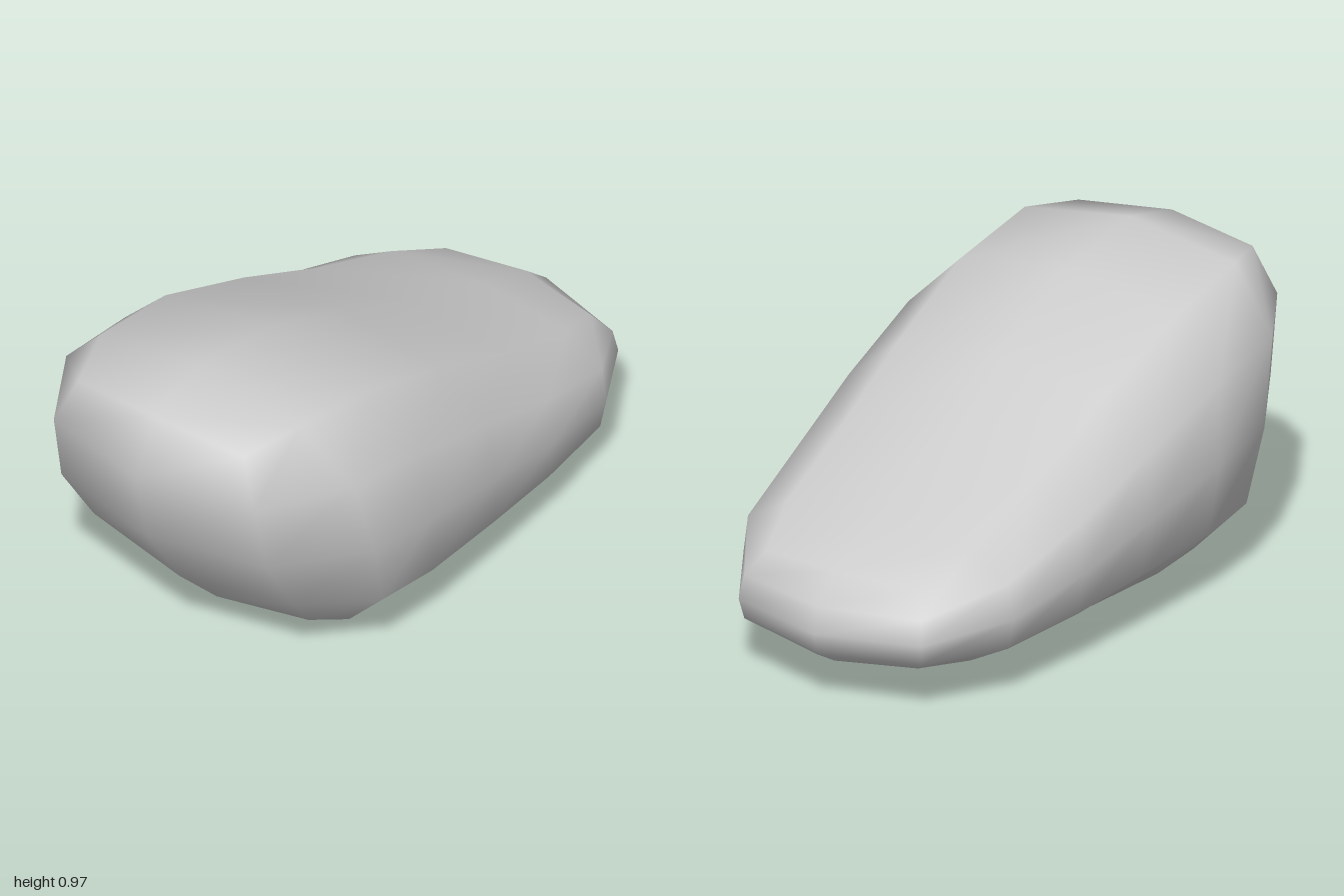
import * as THREE from 'three';
import { mergeVertices } from 'three/addons/utils/BufferGeometryUtils.js';

// Outlines as [z, y], front to back for top and bottom, top to bottom for the ends.
// "mid" runs along the centre plane, "rim" along the border of each flank.
const mid = {
  top: [[0.915, 0.91], [0.69, 0.97], [0.36, 0.92], [0, 0.77], [-0.34, 0.6], [-0.67, 0.478], [-0.89, 0.395]],
  bottom: [[0.61, 0.07], [0.47, 0.01], [0.26, 0.003], [-0.05, 0.023], [-0.35, 0.045], [-0.65, 0.065], [-0.89, 0.105]],
  front: [[0.915, 0.91], [1, 0.735], [0.95, 0.495], [0.79, 0.25], [0.61, 0.07]],
  back: [[-0.89, 0.395], [-0.985, 0.315], [-1, 0.23], [-0.985, 0.16], [-0.89, 0.105]],
};
// Rim points carry the half width as a third value.
const rim = {
  top: [[0.88, 0.88, 0.31], [0.69, 0.91, 0.375], [0.36, 0.86, 0.385], [0, 0.722, 0.37], [-0.34, 0.57, 0.35], [-0.66, 0.455, 0.325], [-0.85, 0.38, 0.27]],
  bottom: [[0.58, 0.11, 0.32], [0.46, 0.07, 0.38], [0.26, 0.063, 0.385], [-0.05, 0.073, 0.37], [-0.35, 0.083, 0.35], [-0.65, 0.097, 0.325], [-0.85, 0.13, 0.27]],
  front: [[0.88, 0.88, 0.31], [0.915, 0.73, 0.375], [0.865, 0.495, 0.385], [0.72, 0.27, 0.375], [0.58, 0.11, 0.32]],
  back: [[-0.85, 0.38, 0.27], [-0.9, 0.31, 0.315], [-0.915, 0.235, 0.325], [-0.9, 0.17, 0.315], [-0.85, 0.13, 0.27]],
};
const flankWidth = [0, 0.56, 0.575, 0.555, 0.525, 0.48, 0];
const rowDrop = [0, 0.215, 0.53, 0.8, 1];
const rowWidth = [0, 0.965, 1, 0.96, 0];

// Picks the outline point for a border cell of the 4 x 6 grid.
function borderPoint(set, row, col) {
  if (row === 0) return set.top[col];
  if (row === 4) return set.bottom[col];
  return col === 0 ? set.front[row] : set.back[row];
}

// Place one grid vertex: side is -1, 0 or 1.
function place(side, row, col) {
  const border = row === 0 || row === 4 || col === 0 || col === 6;
  if (side === 0) {
    const [z, y] = borderPoint(mid, row, col);
    return [0, y, z];
  }
  if (border) {
    const [z, y, x] = borderPoint(rim, row, col);
    return [side * x, y, z];
  }
  // flank interior: blend from the top rim to the bottom rim
  const a = rim.top[col], b = rim.bottom[col], f = rowDrop[row];
  const x = flankWidth[col] * rowWidth[row];
  return [side * x, a[1] + (b[1] - a[1]) * f, a[0] + (b[0] - a[0]) * f];
}

export function createModel() {
  const group = new THREE.Group();
  group.name = 'pebble';

  // Coarse box cage reshaped into a rounded wedge
  let geo = new THREE.BoxGeometry(2, 4, 6, 2, 4, 6);
  const pos = geo.attributes.position;
  for (let i = 0; i < pos.count; i++) {
    const side = Math.round(pos.getX(i));
    const row = Math.round(2 - pos.getY(i));
    const col = Math.round(3 - pos.getZ(i));
    pos.setXYZ(i, ...place(side, row, col));
  }

  // Weld the faces so the whole surface shades smoothly
  geo.deleteAttribute('normal');
  geo.deleteAttribute('uv');
  geo = mergeVertices(geo, 1e-4);
  geo.computeVertexNormals();

  const body = new THREE.Mesh(geo, new THREE.MeshStandardMaterial({ color: 0xcccccc }));
  body.name = 'body';
  group.add(body);
  return group;
}
